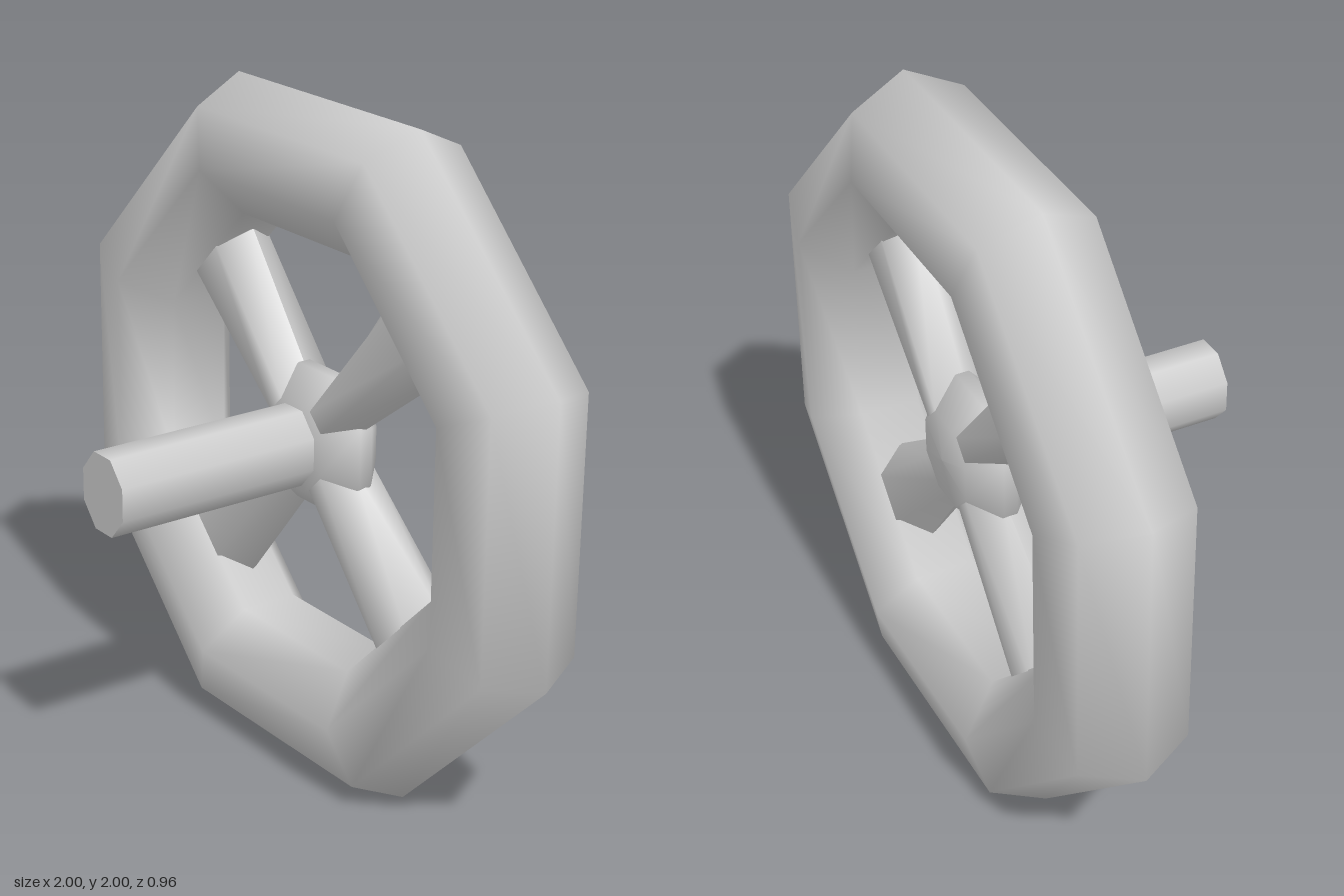
import * as THREE from 'three';

const CENTRE_Y = 1;
const WHEEL_Z = -0.27;

export function createModel() {
  const group = new THREE.Group();
  const material = new THREE.MeshStandardMaterial({ color: 0xcccccc });

  const add = (name, geometry, z = WHEEL_Z) => {
    const mesh = new THREE.Mesh(geometry, material);
    mesh.name = name;
    mesh.position.set(0, CENTRE_Y, z);
    group.add(mesh);
    return mesh;
  };

  // Eight-sided rim with a seven-sided tube
  add('rim', new THREE.TorusGeometry(0.87, 0.2125, 7, 8).rotateZ(Math.PI / 8));

  // Lens-shaped octagonal hub
  const profile = [[0, -0.11], [0.14, -0.1], [0.2275, -0.02], [0.2275, 0.02], [0.14, 0.1], [0, 0.11]]
    .map(([r, y]) => new THREE.Vector2(r, y));
  add('hub', new THREE.LatheGeometry(profile, 8, Math.PI / 8).rotateX(Math.PI / 2));

  // Four diagonal spokes that widen towards the rim
  const inner = 0.13, outer = 0.7;
  const makeSpoke = () => {
    const geometry = new THREE.CylinderGeometry(1, 1, outer - inner, 6, 1, false, Math.PI / 2);
    geometry.translate(0, (inner + outer) / 2, 0);
    const p = geometry.attributes.position;
    for (let i = 0; i < p.count; i++) {
      const halfWidth = 0.085 + 0.145 * (p.getY(i) - 0.212);
      p.setX(i, p.getX(i) * halfWidth);
      p.setZ(i, p.getZ(i) * 0.11);
    }
    geometry.computeVertexNormals();
    return geometry;
  };
  for (let i = 0; i < 4; i++) {
    add('spoke' + (i + 1), makeSpoke().rotateZ(Math.PI / 4 + i * Math.PI / 2));
  }

  // Axle reaching forward from the hub
  const back = -0.27, front = 0.48;
  const axle = new THREE.CylinderGeometry(0.108, 0.108, front - back, 8, 1, false, Math.PI / 8)
    .rotateX(Math.PI / 2)
    .scale(1, 1.15, 1);
  add('axle', axle, (back + front) / 2);

  return group;
}
